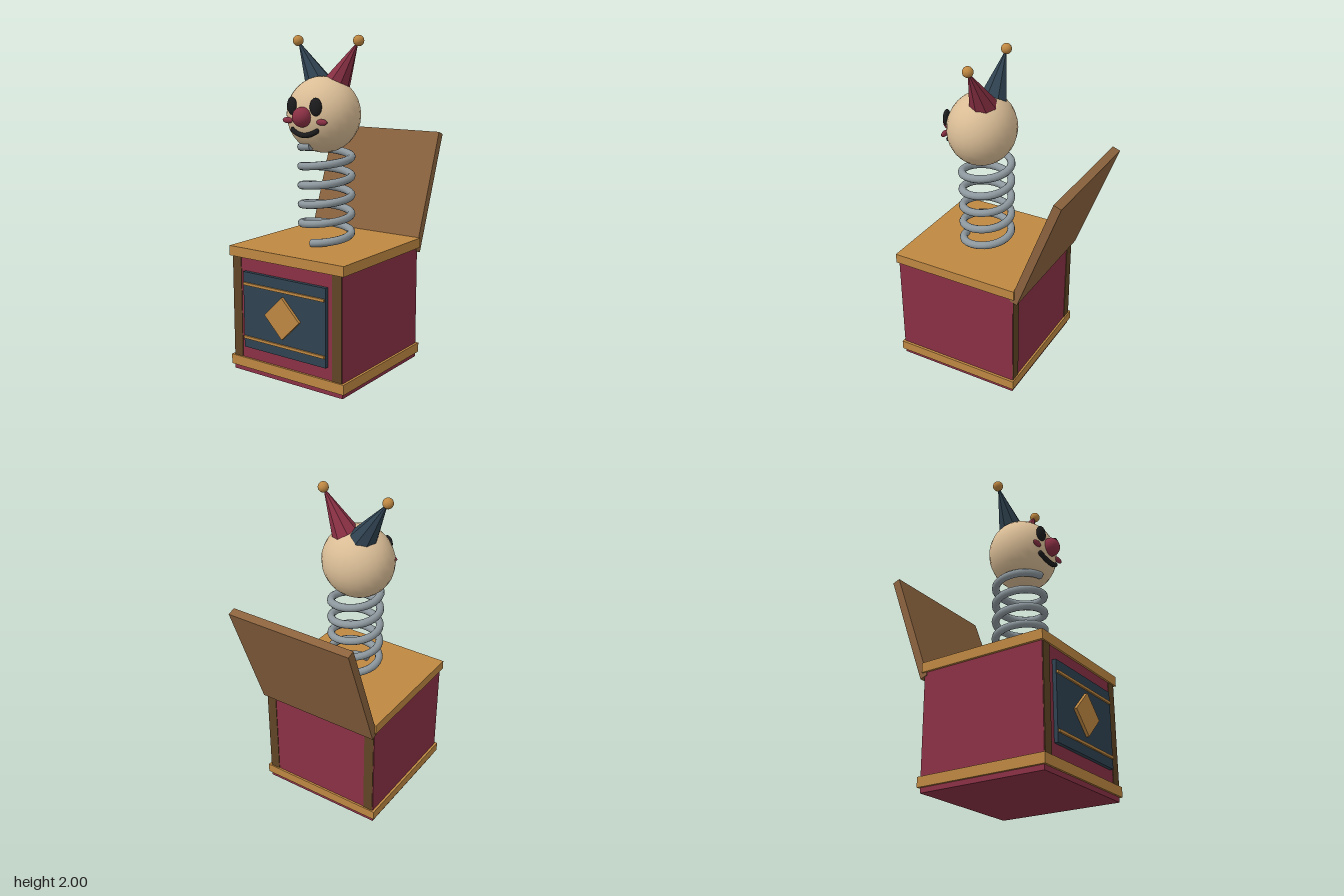
import * as THREE from 'three';

const material = (name, color) => {
  const m = new THREE.MeshStandardMaterial({ color });
  m.name = name;
  return m;
};

export function createModel() {
  const red = material('crimson', 0x8a3044);
  const blue = material('slate blue', 0x2f4250);
  const gold = material('golden wood', 0xbf8842);
  const wood = material('brown wood', 0x8b633e);
  const darkWood = material('dark wood', 0x5f4424);
  const steel = material('spring steel', 0x8d989e);
  const skin = material('cream', 0xdabd96);
  const black = material('black', 0x1c1c1e);
  blue.flatShading = false;

  const root = new THREE.Group();
  const add = (name, geometry, mat, x = 0, y = 0, z = 0) => {
    const mesh = new THREE.Mesh(geometry, mat);
    mesh.name = name;
    mesh.position.set(x, y, z);
    root.add(mesh);
    return mesh;
  };
  const box = (name, mat, w, h, d, x, y, z) =>
    add(name, new THREE.BoxGeometry(w, h, d), mat, x, y, z);
  const ball = (name, mat, rx, ry, rz, x, y, z) => {
    const mesh = add(name, new THREE.SphereGeometry(1, 24, 16), mat, x, y, z);
    mesh.scale.set(rx, ry, rz);
    return mesh;
  };

  // Box body, trim bands and corner strips
  const cz = 0.124;
  box('boxBody', red, 0.8, 0.74, 0.8, 0, 0.37, cz);
  box('bottomTrim', gold, 0.83, 0.06, 0.825, 0, 0.06, cz);
  box('topTrim', gold, 0.83, 0.06, 0.825, 0, 0.74, cz);
  for (const sx of [-1, 1]) {
    for (const sz of [-1, 1]) {
      box('cornerStrip', darkWood, 0.064, 0.62, 0.008, sx * 0.364, 0.4, cz + sz * 0.4);
    }
  }

  // Open lid leaning backwards
  box('lid', wood, 0.81, 0.76, 0.05, 0, 1.04, -0.411).rotation.x = -0.35;

  // Front panel with two stripes and a diamond
  box('frontPanel', blue, 0.6, 0.465, 0.03, 0, 0.398, 0.532);
  for (const y of [0.23, 0.56]) box('panelStripe', gold, 0.59, 0.016, 0.012, 0, y, 0.551);
  box('panelDiamond', gold, 0.179, 0.179, 0.02, 0, 0.4, 0.555).rotation.z = Math.PI / 4;

  // Coil spring: five turns starting and ending at the front
  const coil = new THREE.Curve();
  coil.getPoint = (t, target = new THREE.Vector3()) => {
    const a = t * Math.PI * 10;
    return target.set(0.15 * Math.sin(a), 0.79 + 0.575 * t, cz + 0.15 * Math.cos(a));
  };
  add('spring', new THREE.TubeGeometry(coil, 160, 0.024, 10), steel);
  for (const t of [0, 1]) {
    const cap = add('springEnd', new THREE.CircleGeometry(0.024, 10), steel);
    cap.position.copy(coil.getPoint(t));
    cap.rotation.y = t ? Math.PI / 2 : -Math.PI / 2;
  }

  // Head and face
  ball('head', skin, 0.226, 0.224, 0.207, 0, 1.542, 0.15);
  ball('nose', red, 0.058, 0.058, 0.056, 0, 1.54, 0.357);
  for (const s of [-1, 1]) {
    ball('eye', black, 0.037, 0.052, 0.02, s * 0.085, 1.6, 0.34).rotation.y = s * 0.2;
    ball('cheek', red, 0.037, 0.018, 0.014, s * 0.122, 1.515, 0.333);
  }
  const smile = new THREE.QuadraticBezierCurve3(
    new THREE.Vector3(-0.09, 1.465, 0.333),
    new THREE.Vector3(0, 1.405, 0.356),
    new THREE.Vector3(0.09, 1.465, 0.333));
  add('mouth', new THREE.TubeGeometry(smile, 12, 0.015, 8), black);
  for (const s of [-1, 1]) ball('mouthEnd', black, 0.01, 0.014, 0.014, s * 0.088, 1.464, 0.333);

  // Two pointed hat horns with bobbles
  const up = new THREE.Vector3(0, 1, 0);
  for (const [s, mat] of [[-1, blue], [1, red]]) {
    const tip = new THREE.Vector3(s * 0.217, 1.967, 0.108);
    const dir = new THREE.Vector3(s * 0.522, 0.853, 0).normalize();
    const cone = new THREE.ConeGeometry(0.085, 0.3, 8).toNonIndexed();
    cone.computeVertexNormals();
    const horn = add('hatHorn', cone, mat);
    horn.position.copy(tip).addScaledVector(dir, -0.15);
    horn.quaternion.setFromUnitVectors(up, dir);
    ball('hatBobble', gold, 0.032, 0.032, 0.032, tip.x, tip.y, tip.z);
  }
  return root;
}
